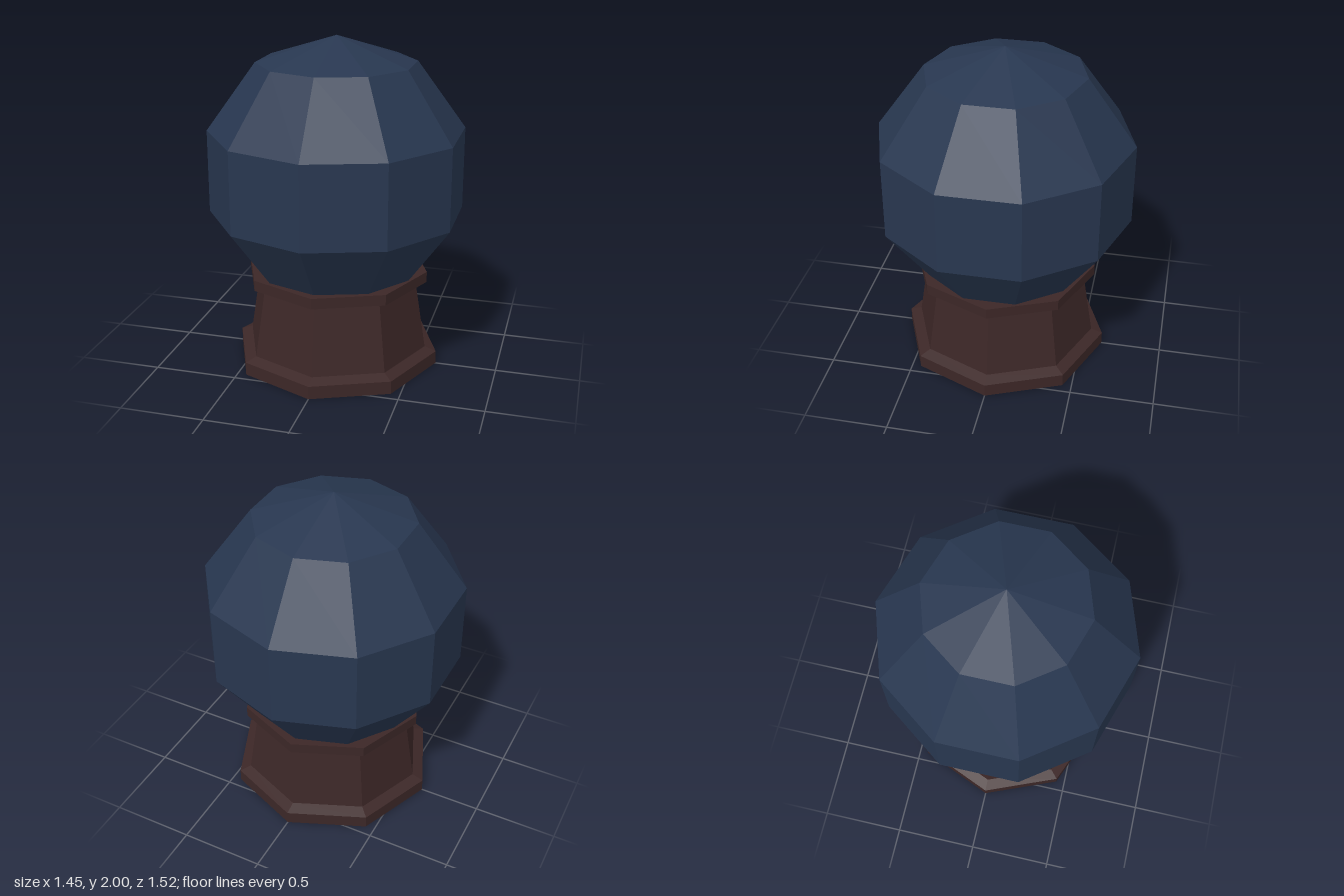
import * as THREE from 'three';

export function createModel() {
  const group = new THREE.Group();
  const wood = new THREE.MeshStandardMaterial({ name: 'darkWood', color: 0x3c2727, flatShading: true });
  const glass = new THREE.MeshStandardMaterial({ name: 'midnightBlue', color: 0x283750, flatShading: true });

  // Eight-sided pedestal: foot, tapered body and rim
  const profile = [
    [0, 0], [0.63, 0], [0.63, 0.08], [0.56, 0.105],
    [0.495, 0.515], [0.56, 0.535], [0.56, 0.6], [0, 0.6],
  ].map(([r, y]) => new THREE.Vector2(r, y));
  const pedestal = new THREE.Mesh(new THREE.LatheGeometry(profile, 8), wood);
  pedestal.name = 'pedestal';
  group.add(pedestal);

  // Ten-sided faceted ball, sunk into the pedestal, with a corner facing front
  const ball = new THREE.Mesh(new THREE.SphereGeometry(0.8, 10, 5, Math.PI / 2), glass);
  ball.name = 'ball';
  ball.position.y = 1.2;
  group.add(ball);

  return group;
}
